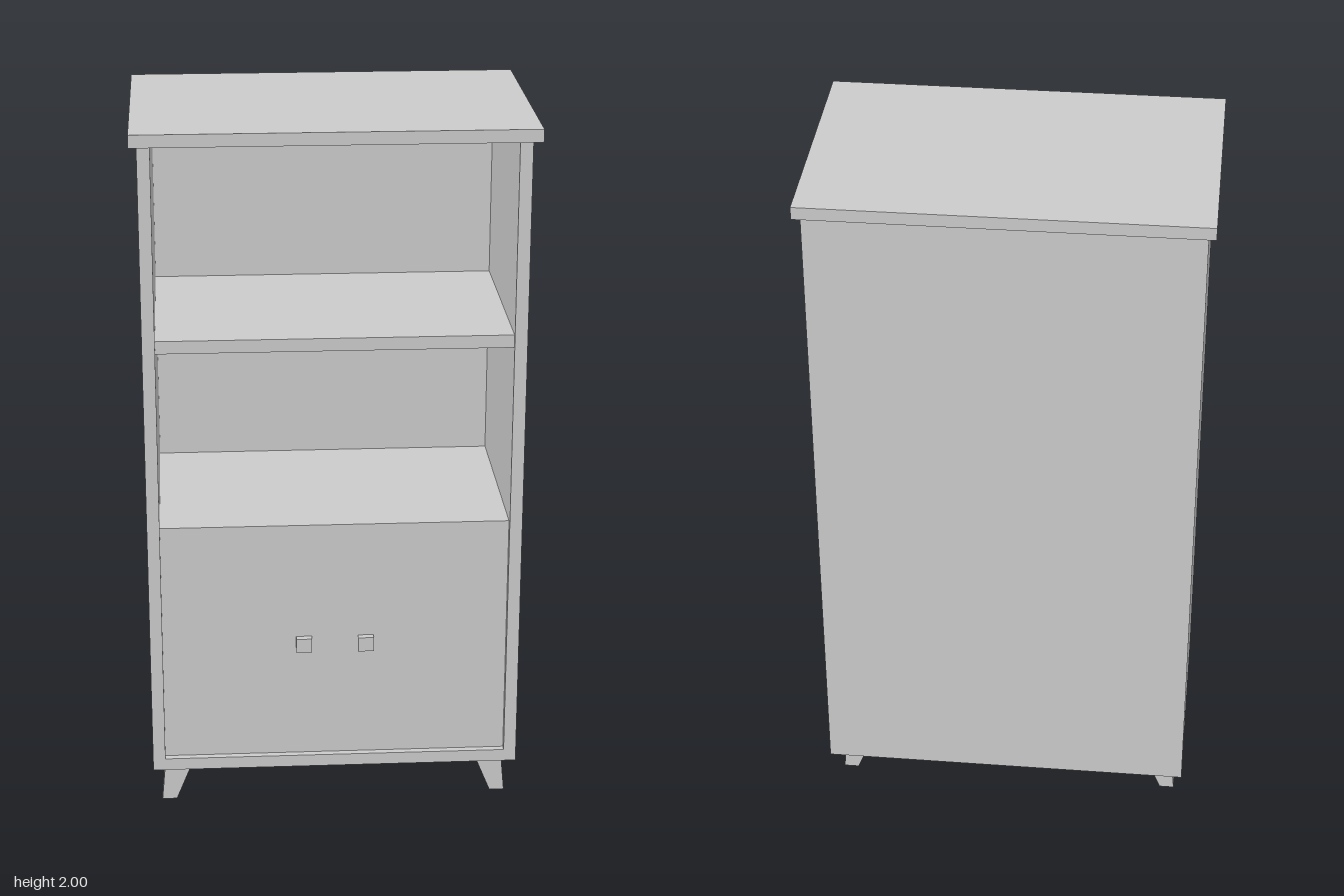
import * as THREE from 'three';

const material = new THREE.MeshStandardMaterial({ color: 0xcccccc, flatShading: true });

// Box given by its min and max on each axis
function box(name, [x0, x1], [y0, y1], [z0, z1]) {
  const mesh = new THREE.Mesh(new THREE.BoxGeometry(x1 - x0, y1 - y0, z1 - z0), material);
  mesh.position.set((x0 + x1) / 2, (y0 + y1) / 2, (z0 + z1) / 2);
  mesh.name = name;
  return mesh;
}

// Tapered leg: a unit box whose corners slide to the top or foot outline, splayed outward
function leg(name, sx, sz) {
  const geometry = new THREE.BoxGeometry(1, 1, 1);
  const p = geometry.attributes.position;
  for (let i = 0; i < p.count; i++) {
    const top = p.getY(i) > 0;
    const outX = p.getX(i) * sx > 0;
    const outZ = p.getZ(i) * sz > 0;
    const x = top ? (outX ? 0.485 : 0.402) : (outX ? 0.497 : 0.455);
    const z = outZ ? 0.233 : (top ? 0.165 : 0.192);
    p.setXYZ(i, sx * x, top ? 0.13 : 0, sz * z);
  }
  geometry.computeVertexNormals();
  const mesh = new THREE.Mesh(geometry, material);
  mesh.name = name;
  return mesh;
}

export function createModel() {
  const model = new THREE.Group();
  model.name = 'bookcase';
  const inner = [-0.485, 0.485];
  const depth = [-0.33, 0.3];

  // Carcass
  model.add(
    box('topBoard', [-0.54, 0.54], [1.965, 2], [-0.35, 0.35]),
    box('leftSide', [0.485, 0.52], [0.13, 1.965], depth),
    box('rightSide', [-0.52, -0.485], [0.13, 1.965], depth),
    box('bottomBoard', inner, [0.13, 0.165], depth),
    box('backPanel', inner, [0.165, 1.965], [-0.33, -0.295]),
  );

  // Shelf and closed lower cupboard, set back slightly from the sides
  model.add(
    box('shelf', inner, [1.382, 1.418], [-0.295, 0.29]),
    box('cupboard', inner, [0.165, 0.87], [-0.295, 0.28]),
  );

  // Knobs and legs, mirrored
  for (const sx of [1, -1]) {
    const side = sx > 0 ? 'Left' : 'Right';
    const x = sx * 0.087;
    model.add(box('knob' + side, [x - 0.022, x + 0.022], [0.489, 0.531], [0.28, 0.3]));
    model.add(leg('frontLeg' + side, sx, 1), leg('backLeg' + side, sx, -1));
  }
  return model;
}
